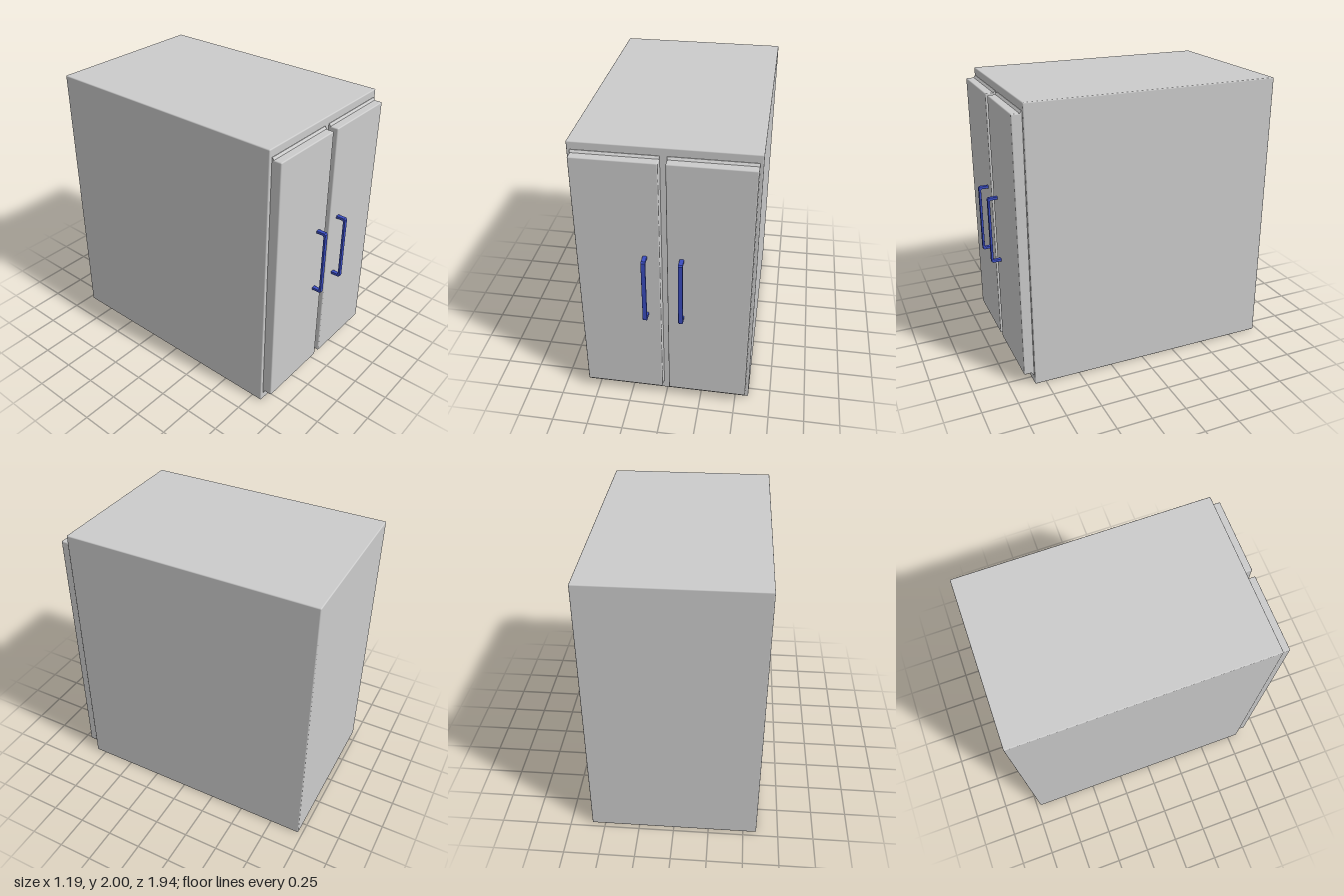
import * as THREE from 'three';
import { RoundedBoxGeometry } from 'three/addons/geometries/RoundedBoxGeometry.js';

const grey = new THREE.MeshStandardMaterial({ color: 0xcccccc });
const blue = new THREE.MeshStandardMaterial({ color: 0x3a4cc0 });

// Rounded box given by its lower and upper corners
function slab(name, min, max, radius) {
  const size = max.map((v, i) => v - min[i]);
  const mesh = new THREE.Mesh(new RoundedBoxGeometry(...size, 2, radius), grey);
  mesh.position.set(...max.map((v, i) => (v + min[i]) / 2));
  mesh.name = name;
  return mesh;
}

// Side profile of [z, y] points extruded across x, centred on x = 0
function sideExtrude(name, points, width, bevel, material) {
  const shape = new THREE.Shape(points.map(([z, y]) => new THREE.Vector2(z, y)));
  const geometry = new THREE.ExtrudeGeometry(shape, {
    depth: width - 2 * bevel,
    bevelEnabled: bevel > 0,
    bevelThickness: bevel,
    bevelSize: bevel,
    bevelOffset: -bevel,
    bevelSegments: 2,
  });
  geometry.translate(0, 0, bevel - width / 2);
  geometry.rotateY(-Math.PI / 2);
  const mesh = new THREE.Mesh(geometry, material);
  mesh.name = name;
  return mesh;
}

export function createModel() {
  const model = new THREE.Group();
  model.name = 'refrigerator';

  model.add(slab('cabinet', [-0.595, 0, -0.97], [0.595, 2, 0.83], 0.008));

  // Half of the bracket-shaped handle, from the middle of the grip to the upper foot
  const half = [[0.97, 0.235], [0.96, 0.245], [0.89, 0.245], [0.89, 0.225], [0.948, 0.225], [0.954, 0.217]];
  const bracket = [...half, ...half.map(([z, y]) => [z, -y]).reverse()];

  for (const side of [1, -1]) {
    const door = new THREE.Group();
    door.name = side > 0 ? 'leftDoor' : 'rightDoor';

    const panel = slab('doorPanel', [-0.275, 0.08, 0.81], [0.275, 1.93, 0.9], 0.008);

    // Seal flaring out above and below the panel where it meets the cabinet
    const seal = sideExtrude('doorSeal',
      [[0.82, 0.062], [0.833, 0.062], [0.845, 0.08], [0.845, 1.93], [0.833, 1.945], [0.82, 1.945]],
      0.55, 0, grey);

    const handle = sideExtrude('doorHandle', bracket, 0.03, 0.004, blue);
    handle.position.set(-side * 0.178, 1.002, 0);

    door.add(panel, seal, handle);
    door.position.x = side * 0.298;
    model.add(door);
  }
  return model;
}
